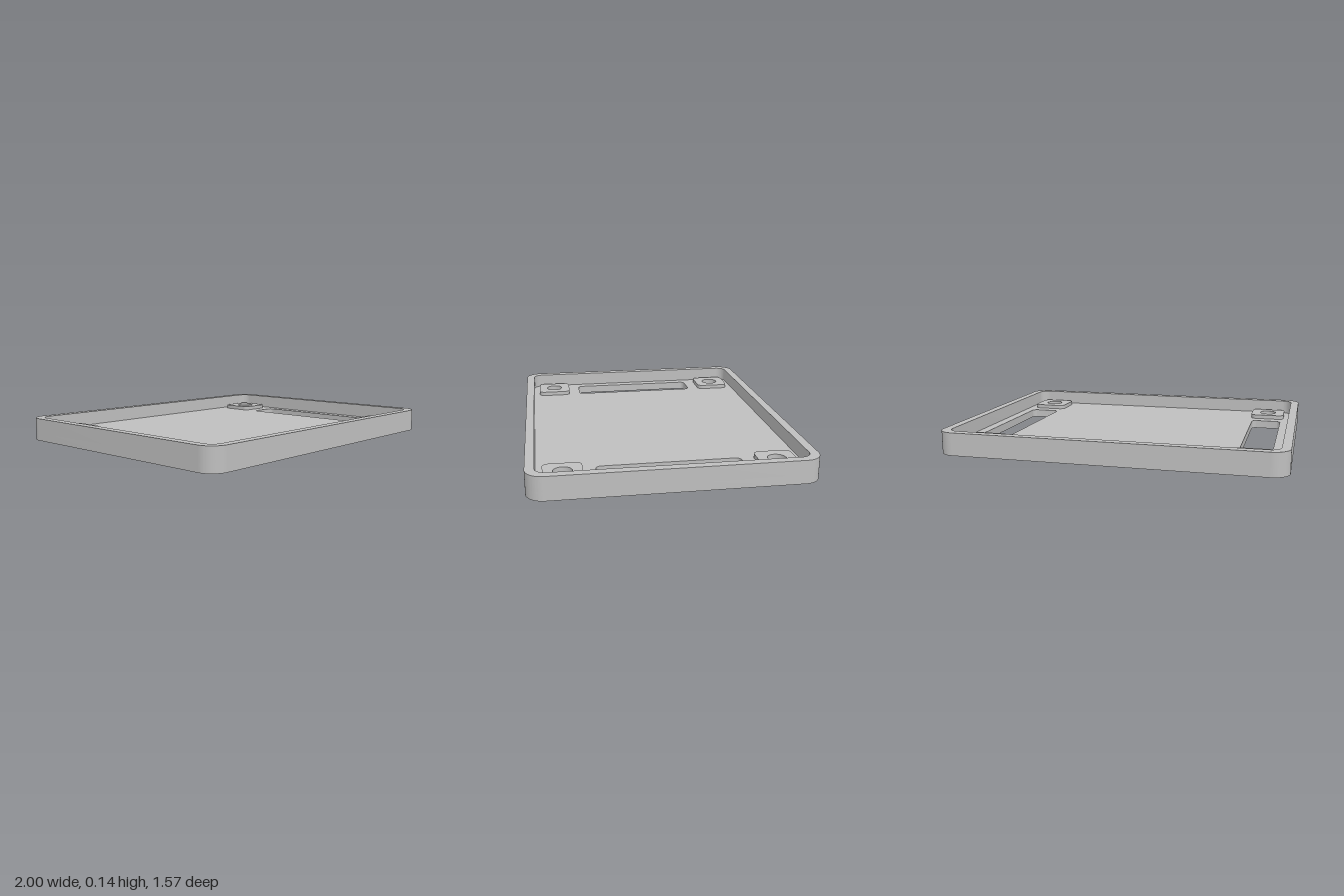
import * as THREE from 'three';
import { toCreasedNormals } from 'three/addons/utils/BufferGeometryUtils.js';

const HEIGHT = 0.135, FLOOR = 0.05, PAD_TOP = 0.075;
const HOLE_X = 0.797, HOLE_Z = 0.59, HOLE_R = 0.053;

// Rounded rectangle centred on (cx, cy) with half sizes hx, hy and corner radius r
function roundedRect(Type, cx, cy, hx, hy, r) {
  const p = new Type();
  p.absarc(cx + hx - r, cy + hy - r, r, 0, Math.PI / 2);
  p.absarc(cx - hx + r, cy + hy - r, r, Math.PI / 2, Math.PI);
  p.absarc(cx - hx + r, cy - hy + r, r, Math.PI, Math.PI * 1.5);
  p.absarc(cx + hx - r, cy - hy + r, r, Math.PI * 1.5, Math.PI * 2);
  p.closePath();
  return p;
}

function roundHole(x, z) {
  return new THREE.Path().absarc(x, z, HOLE_R, 0, Math.PI * 2);
}

// Upright slab of a plan shape between two heights
function slab(name, shape, bottom, top, material) {
  const geometry = new THREE.ExtrudeGeometry(shape, {
    depth: top - bottom, bevelEnabled: false, curveSegments: 16,
  });
  geometry.rotateX(-Math.PI / 2);
  geometry.translate(0, bottom, 0);
  const mesh = new THREE.Mesh(toCreasedNormals(geometry, Math.PI / 6), material);
  mesh.name = name;
  return mesh;
}

export function createModel() {
  const group = new THREE.Group();
  group.name = 'tray';
  const grey = new THREE.MeshStandardMaterial({ color: 0xbfbfbf });
  grey.name = 'light grey';

  const outline = () => roundedRect(THREE.Shape, 0, 0, 1, 0.787, 0.1);

  // Floor with two long slots and four screw holes
  const floor = outline();
  for (const sx of [-1, 1]) {
    floor.holes.push(roundedRect(THREE.Path, sx * 0.797, 0, 0.093, 0.408, 0.03));
    for (const sz of [-1, 1]) floor.holes.push(roundHole(sx * HOLE_X, sz * HOLE_Z));
  }
  group.add(slab('floor', floor, 0, FLOOR, grey));

  // Rim wall
  const rim = outline();
  rim.holes.push(roundedRect(THREE.Path, 0, 0, 0.949, 0.736, 0.06));
  group.add(slab('rimWall', rim, FLOOR, HEIGHT, grey));

  // Raised screw pads in the corners
  for (const sx of [-1, 1]) for (const sz of [-1, 1]) {
    const pad = roundedRect(THREE.Shape, sx * HOLE_X, sz * HOLE_Z, 0.109, 0.108, 0.035);
    pad.holes.push(roundHole(sx * HOLE_X, sz * HOLE_Z));
    group.add(slab('screwPad', pad, FLOOR, PAD_TOP, grey));
  }
  return group;
}
